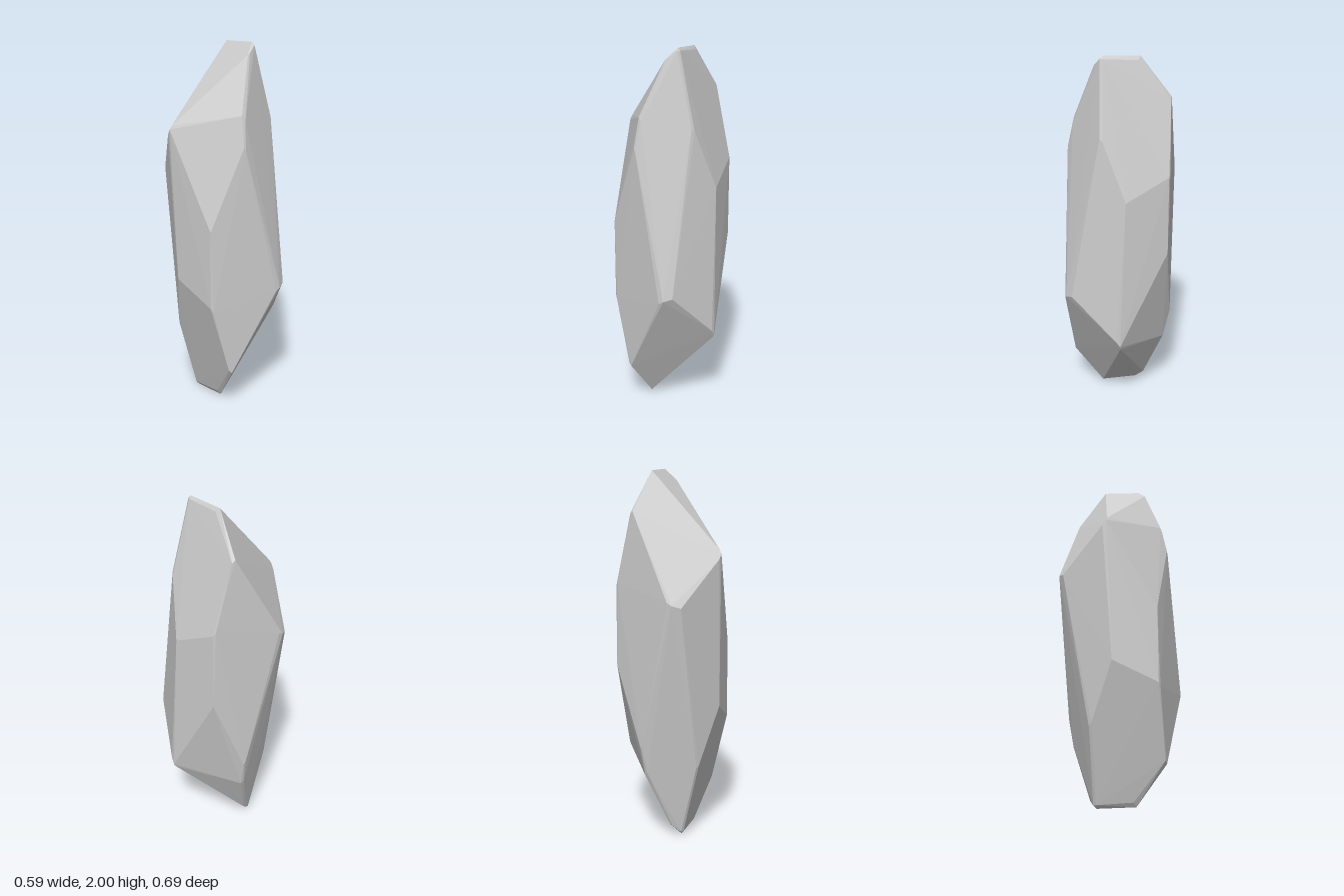
import * as THREE from 'three';
import { ConvexGeometry } from 'three/addons/geometries/ConvexGeometry.js';

// Corners of half the crystal; close pairs give the narrow bevelled edges.
const corners = [
  // top ridge
  [0.088, 2, 0.122], [0.1, 1.985, 0.125], [0.09, 1.985, 0.138],
  [0.094, 1.99, -0.078], [0.107, 1.97, -0.062],
  // back end of the ridge
  [0.15, 1.78, -0.23], [0.165, 1.765, -0.222],
  // front left shoulder
  [0.185, 1.6, 0.17], [0.197, 1.585, 0.158],
  // front right ridge
  [0.045, 1.95, 0.152], [0.03, 1.94, 0.152],
  [-0.085, 1.65, 0.23], [-0.07, 1.63, 0.24],
  [-0.09, 1.47, 0.267], [-0.1, 1.49, 0.262],
  // left side
  [0.282, 1.27, 0.06], [0.262, 1.38, -0.183], [0.252, 1.4, -0.193], [0.262, 0.95, -0.183],
  [0.296, 0.44, 0.095], [0.29, 0.47, 0.115], [0.285, 0.42, 0.09],
  // front
  [0.075, 0.68, 0.341], [0.1, 0.695, 0.343], [0.145, 0.71, 0.322],
];

export function createModel() {
  const group = new THREE.Group();
  group.name = 'crystal';

  // The other half is the same corners reflected through the centre (0, 1, 0).
  const points = corners.flatMap(([x, y, z]) => [
    new THREE.Vector3(x, y, z),
    new THREE.Vector3(-x, 2 - y, -z),
  ]);

  const shard = new THREE.Mesh(
    new ConvexGeometry(points),
    new THREE.MeshStandardMaterial({ color: 0xcccccc, flatShading: true }),
  );
  shard.name = 'crystalShard';
  group.add(shard);
  return group;
}
